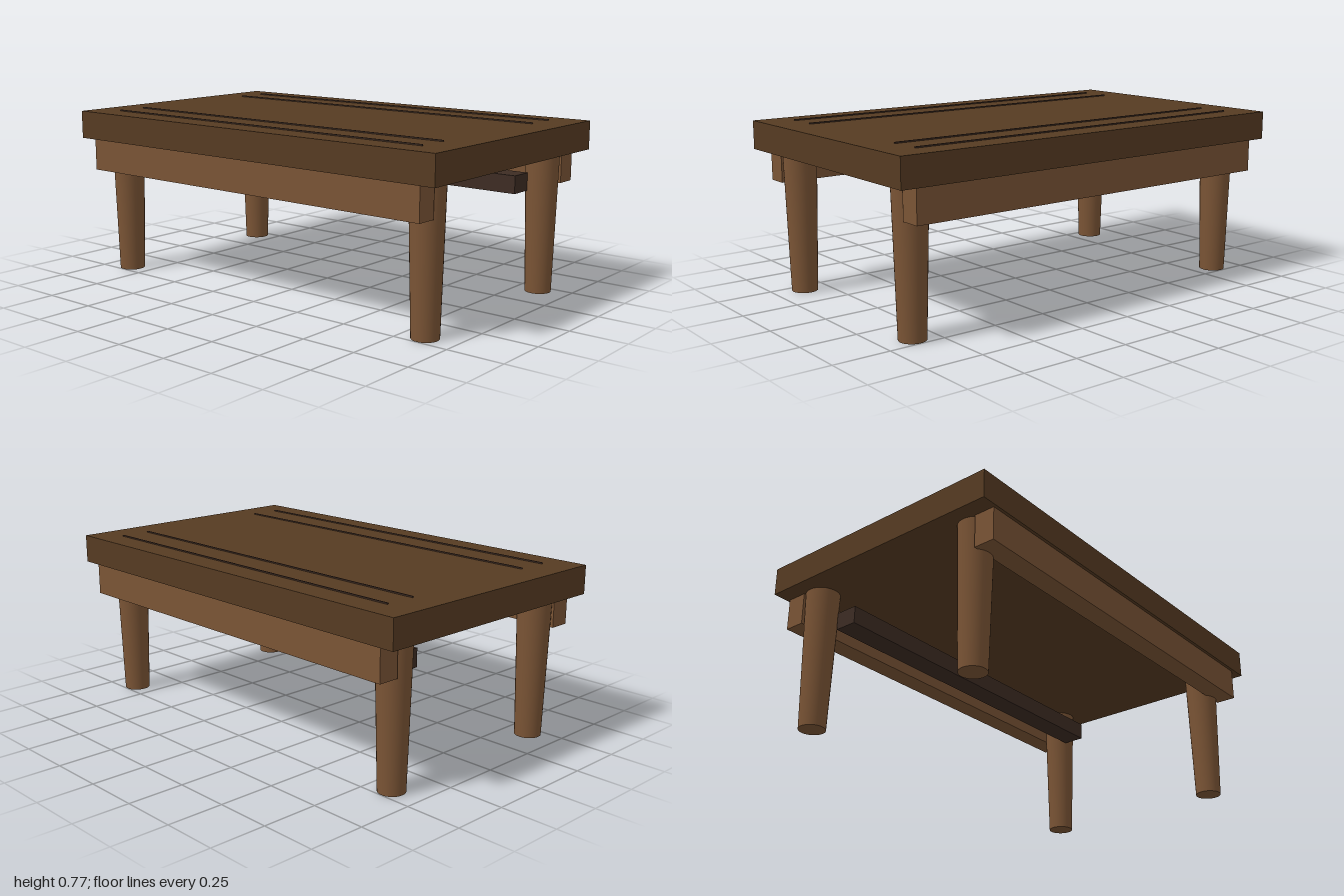
import * as THREE from 'three';

function material(name, color) {
  const m = new THREE.MeshStandardMaterial({ color });
  m.name = name;
  return m;
}

export function createModel() {
  const table = new THREE.Group();
  table.name = 'lowTable';
  const darkWood = material('dark wood', 0x563b22);
  const warmWood = material('warm wood', 0x7a5435);
  const blackWood = material('blackened wood', 0x3d2c23);

  const add = (name, geometry, mat, x, y, z) => {
    const mesh = new THREE.Mesh(geometry, mat);
    mesh.name = name;
    mesh.position.set(x, y, z);
    table.add(mesh);
  };

  // Thick slab top
  add('tabletop', new THREE.BoxGeometry(2, 0.127, 1.197), darkWood, 0, 0.6985, 0);

  // Thin inlay lines along the top, in pairs near the long edges
  const line = new THREE.BoxGeometry(1.72, 0.007, 0.006);
  for (const z of [-0.48, -0.34, 0.34, 0.48]) add('inlayLine', line, blackWood, 0, 0.7645, z);

  // Round legs tapering to the floor
  const leg = new THREE.CylinderGeometry(0.075, 0.058, 0.635, 32);
  for (const x of [-1, 1]) {
    for (const z of [-1, 1]) add('leg', leg, warmWood, x * 0.86, 0.3175, z * 0.44);
  }

  // Long aprons under the front and back edges
  const apron = new THREE.BoxGeometry(1.85, 0.145, 0.094);
  for (const z of [-1, 1]) add('apron', apron, warmWood, 0, 0.5625, z * 0.538);

  // Single hanging rail towards the back
  add('rearRail', new THREE.BoxGeometry(1.65, 0.08, 0.106), blackWood, 0, 0.501, -0.322);

  return table;
}
